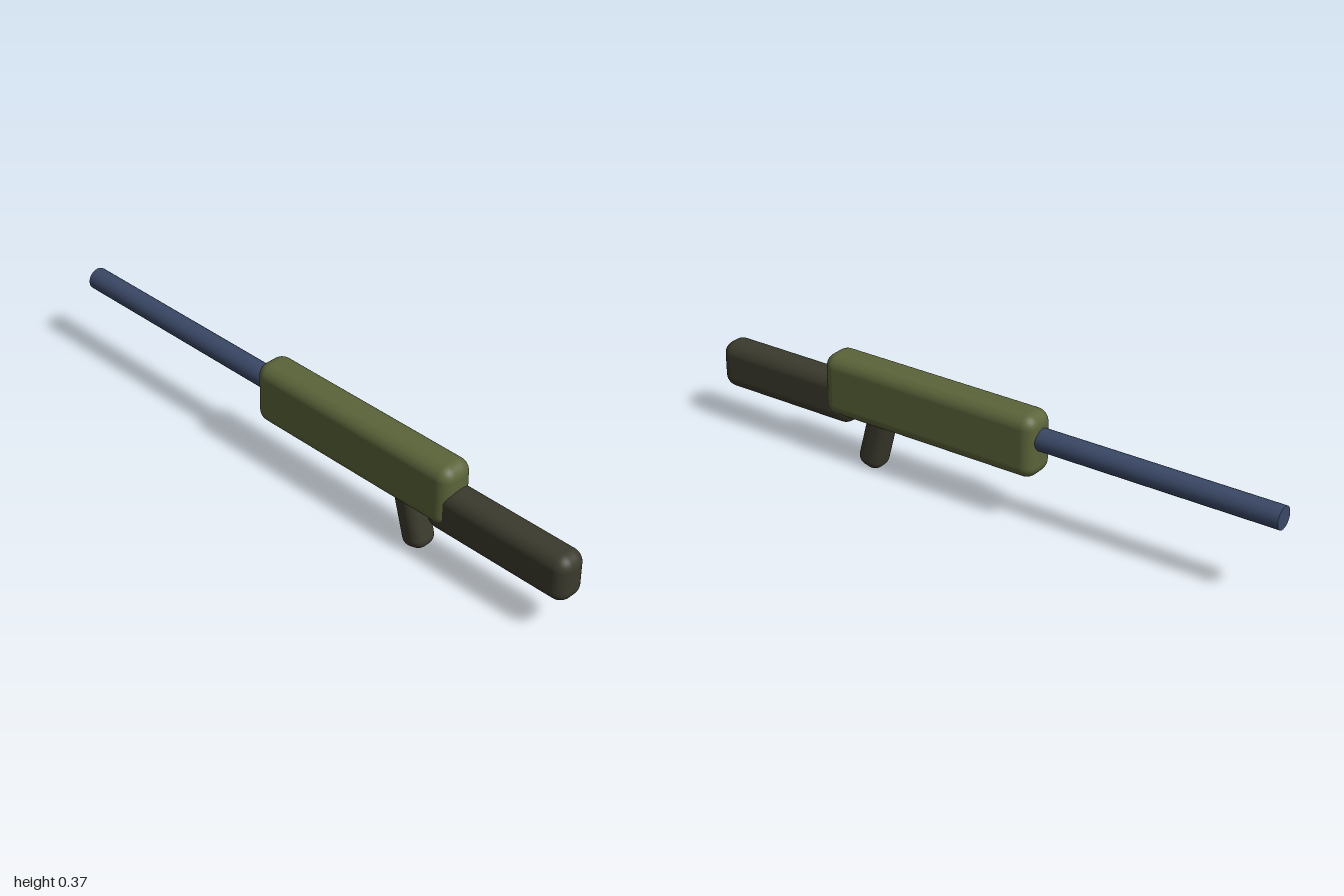
import * as THREE from 'three';
import { RoundedBoxGeometry } from 'three/addons/geometries/RoundedBoxGeometry.js';

const paint = (color) => new THREE.MeshStandardMaterial({ color });

export function createModel() {
  const model = new THREE.Group();
  const olive = paint(0x5b643a);
  const dark = paint(0x3b3a2d);
  const blue = paint(0x3a4866);

  const add = (name, geometry, material, y, z, tilt = 0) => {
    const mesh = new THREE.Mesh(geometry, material);
    mesh.name = name;
    mesh.position.set(0, y, z);
    mesh.rotation.x = tilt;
    model.add(mesh);
  };
  const block = (w, h, d, r) => new RoundedBoxGeometry(w, h, d, 5, r);

  // Main body
  add('receiver', block(0.12, 0.207, 0.78, 0.042), olive, 0.264, 0.185);

  // Rear stock, its inner end sunk into the body
  add('stock', block(0.105, 0.156, 0.52, 0.042), dark, 0.212, 0.74);

  // Grip, leaning towards the stock at its foot
  add('grip', block(0.087, 0.22, 0.087, 0.035), dark, 0.111, 0.403, -0.26);

  // Barrel, with its root inside the body
  add('barrel', new THREE.CylinderGeometry(0.036, 0.036, 0.84, 24), blue, 0.284, -0.58, -Math.PI / 2);

  return model;
}
